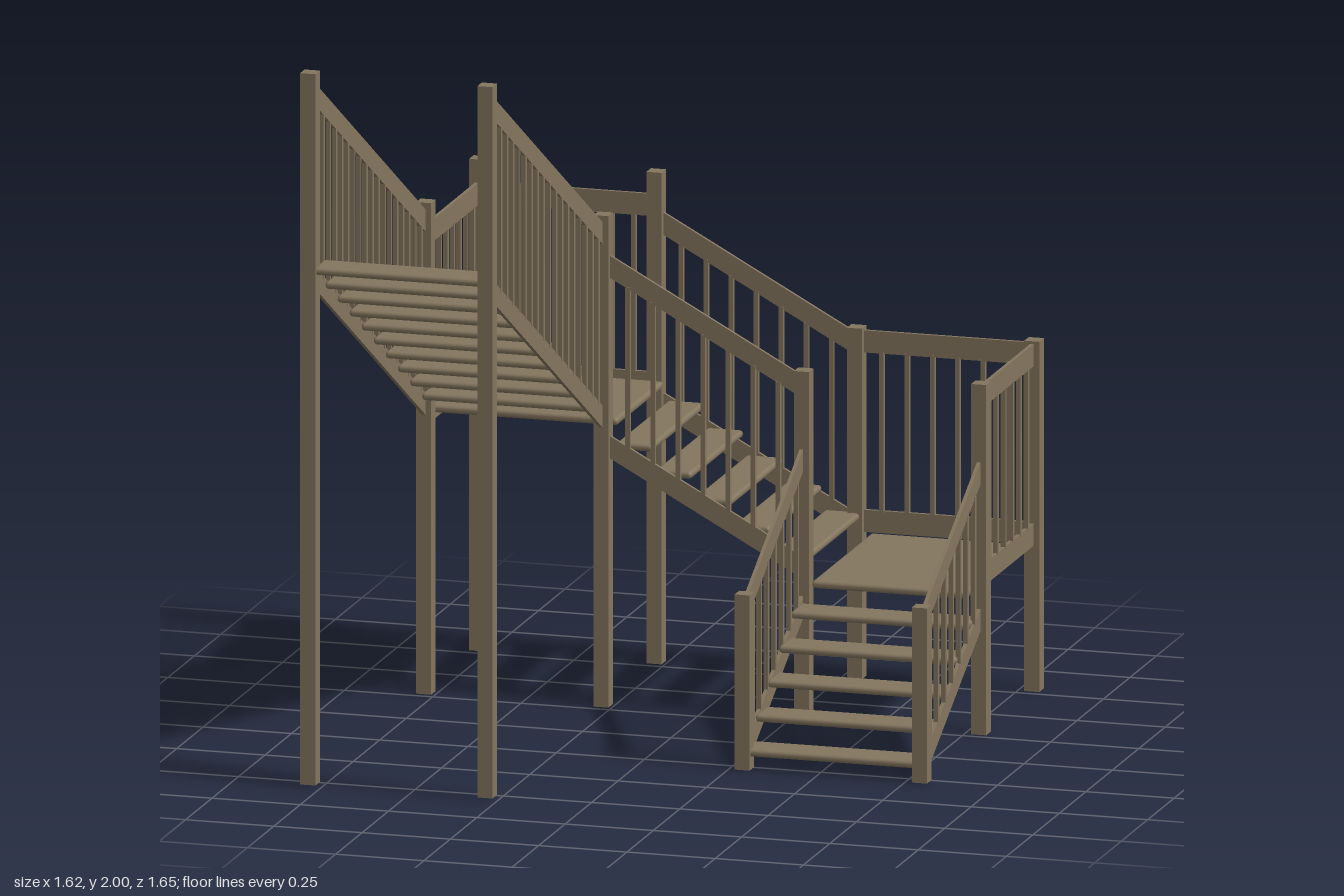
import * as THREE from 'three';
import { RoundedBoxGeometry } from 'three/addons/geometries/RoundedBoxGeometry.js';

const wood = new THREE.MeshStandardMaterial({ color: 0x84765f });

// Plan lines shared by posts, railings and boards
const XL = 0.79, XM = 0.288, XN = -0.28, XR = -0.782;
const ZB = -0.795, ZM = -0.293, ZS = 0.267, ZF = 0.802;

function add(parent, name, geometry, x, y, z) {
  const mesh = new THREE.Mesh(geometry, wood);
  mesh.name = name;
  mesh.position.set(x, y, z);
  parent.add(mesh);
  return mesh;
}

// Sloped board with vertical ends, running along local x
function beam(length, rise, height, thickness) {
  const shape = new THREE.Shape([
    new THREE.Vector2(0, 0), new THREE.Vector2(length, rise),
    new THREE.Vector2(length, rise + height), new THREE.Vector2(0, height),
  ]);
  return new THREE.ExtrudeGeometry(shape, { depth: thickness, bevelEnabled: false })
    .translate(0, 0, -thickness / 2);
}

// Lower board, handrail and balusters between two plan points [x, z]
function railing(name, from, to, y0, y1, gap, count) {
  const h = 0.062, t = 0.01, w = 0.013;
  const dx = to[0] - from[0], dz = to[1] - from[1];
  const length = Math.hypot(dx, dz), rise = y1 - y0;
  const group = new THREE.Group();
  group.name = name;
  group.position.set(from[0], y0, from[1]);
  group.rotation.y = Math.atan2(-dz, dx);
  add(group, 'lowerBoard', beam(length, rise, h, t), 0, 0, 0);
  add(group, 'handrail', beam(length, rise, h, t), 0, gap, 0);
  const barHeight = gap - h + 0.01;
  const bar = new THREE.BoxGeometry(w, barHeight, w);
  for (let i = 1; i <= count; i++) {
    const f = i / (count + 1);
    add(group, 'baluster', bar, f * length, f * rise + (gap + h) / 2, 0);
  }
  return group;
}

// Evenly stepped treads; step and start are [x, y, z]
function treads(name, count, start, step, width, depth) {
  const group = new THREE.Group();
  group.name = name;
  const geometry = new RoundedBoxGeometry(width, 0.021, depth, 2, 0.01);
  for (let i = 0; i < count; i++) {
    add(group, 'tread', geometry, ...start.map((v, k) => v + step[k] * i));
  }
  return group;
}

export function createModel() {
  const model = new THREE.Group();
  model.name = 'staircase';

  // Posts: x, z, bottom, top
  const posts = [
    [XL, ZS, 0, 0.49], [XM, ZS, 0, 0.49],
    [XL, ZM, 0, 0.98], [XM, ZM, 0, 0.98], [XL, ZB, 0, 0.98], [XM, ZB, 0, 0.98],
    [XN, ZM, 0, 1.375], [XR, ZM, 0, 1.375], [XN, ZB, 0, 1.375], [XR, ZB, 0, 1.375],
    [XN, ZF, 0.01, 2], [XR, ZF, 0.01, 2],
  ];
  for (const [x, z, y0, y1] of posts) {
    add(model, 'post', new THREE.BoxGeometry(0.043, y1 - y0, 0.043), x, (y0 + y1) / 2, z);
  }

  // Landings
  add(model, 'lowerLanding', new RoundedBoxGeometry(0.438, 0.022, 0.56, 2, 0.01), 0.537, 0.387, -0.547);
  add(model, 'upperLanding', new RoundedBoxGeometry(0.56, 0.022, 0.436, 2, 0.01), -0.53, 0.785, -0.547);

  // Treads of the three flights
  model.add(treads('lowerTreads', 5, [0.539, 0.047, 0.231], [0, 0.0695, -0.111], 0.5, 0.104));
  model.add(treads('middleTreads', 5, [0.249, 0.452, -0.547], [-0.111, 0.0685, 0], 0.104, 0.496));
  model.add(treads('upperTreads', 10, [-0.531, 0.847, -0.264], [0, 0.0664, 0.114], 0.48, 0.104));

  // Railings along both sides of each flight
  for (const x of [XL, XM]) {
    model.add(railing('lowerFlightRailing', [x, ZS], [x, ZM], 0, 0.302, 0.41, 7));
  }
  for (const z of [ZB, ZM]) {
    model.add(railing('middleFlightRailing', [XM, z], [XN, z], 0.395, 0.705, 0.505, 7));
  }
  for (const x of [XN, XR]) {
    model.add(railing('upperFlightRailing', [x, ZM], [x, ZF], 0.77, 1.405, 0.513, 18));
  }

  // Railings on the outer sides of the landings
  model.add(railing('lowerLandingRailing', [XM, ZB], [XL, ZB], 0.408, 0.408, 0.502, 6));
  model.add(railing('lowerLandingRailing', [XL, ZB], [XL, ZM], 0.408, 0.408, 0.502, 6));
  model.add(railing('upperLandingRailing', [XR, ZB], [XN, ZB], 0.75, 0.75, 0.498, 7));
  model.add(railing('upperLandingRailing', [XR, ZM], [XR, ZB], 0.75, 0.75, 0.498, 7));

  return model;
}
